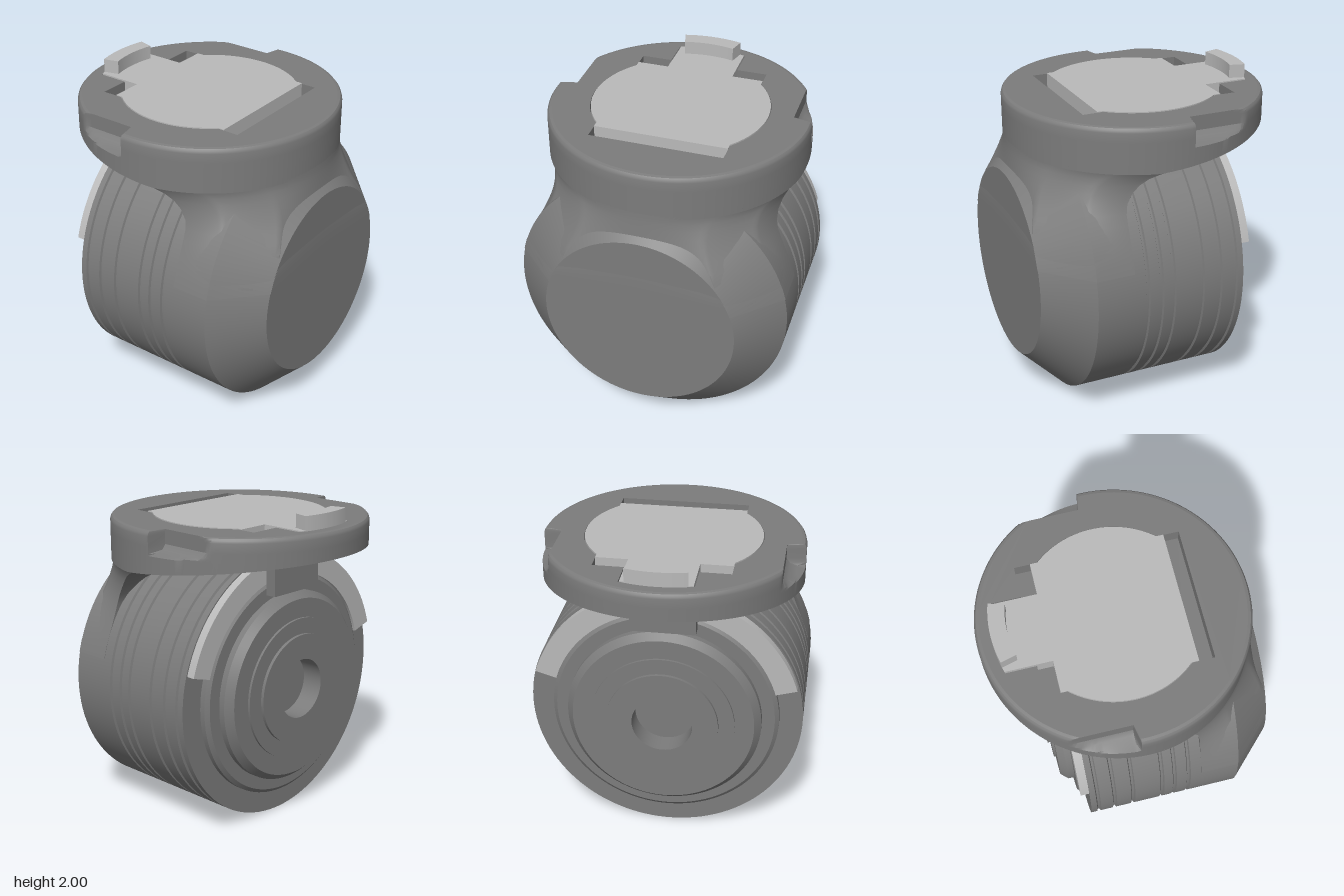
import * as THREE from 'three';
import { toCreasedNormals } from 'three/addons/utils/BufferGeometryUtils.js';

const CX = -0.03; // centre of the top disc
const R = 0.81;   // radius of the top disc
const CY = 0.86;  // height of the barrel axis

// Closed skin over equally long rings of [x, y, z] points
function loft(rings, caps = false) {
  const n = rings[0].length, pos = rings.flat(2), idx = [];
  for (let i = 0; i < rings.length - 1; i++)
    for (let j = 0; j < n; j++) {
      const k = (j + 1) % n, a = i * n + j, b = i * n + k, c = a + n, d = b + n;
      idx.push(a, c, b, b, c, d);
    }
  if (caps) {
    const last = (rings.length - 1) * n;
    for (let j = 1; j < n - 1; j++) idx.push(0, j, j + 1, last, last + j + 1, last + j);
  }
  const g = new THREE.BufferGeometry();
  g.setAttribute('position', new THREE.Float32BufferAttribute(pos, 3));
  g.setIndex(idx);
  return toCreasedNormals(g, 0.6);
}

// Points of an arc around the disc centre, as Vector2(x, z)
function arc(r, from, to, n) {
  return Array.from({ length: n + 1 }, (_, i) => {
    const a = from + (to - from) * i / n;
    return new THREE.Vector2(CX + r * Math.cos(a), r * Math.sin(a));
  });
}

// Outline shared by the plate and its pocket: tab, shoulders, round sides
function plateOutline(shoulderX, endX, tabZ, r) {
  const v = (x, z) => new THREE.Vector2(x, z);
  const a = Math.asin(0.41 / r), t = Math.asin(tabZ / 0.72);
  return [
    v(shoulderX, -tabZ), v(shoulderX, -0.41),
    ...arc(r, -Math.PI + a, -a, 32), v(endX, -0.41),
    v(endX, 0.41), ...arc(r, a, Math.PI - a, 32),
    v(shoulderX, 0.41), v(shoulderX, tabZ),
    ...arc(0.72, Math.PI - t, Math.PI + t, 12),
  ];
}

function ringSector(rIn, rOut, from, to) {
  const s = new THREE.Shape();
  s.absarc(0, 0, rOut, from, to, false);
  s.absarc(0, 0, rIn, to, from, true);
  return s;
}

const extrude = (shape, depth) => toCreasedNormals(
  new THREE.ExtrudeGeometry(shape, { depth, bevelEnabled: false, curveSegments: 48 }), 0.6);

export function createModel() {
  const group = new THREE.Group();
  const dark = new THREE.MeshStandardMaterial({ color: 0x7c7c7c, side: THREE.DoubleSide });
  dark.name = 'dark grey';
  const light = new THREE.MeshStandardMaterial({ color: 0xbababa });
  light.name = 'light grey';
  const add = (name, geometry, material) => {
    const m = new THREE.Mesh(geometry, material);
    m.name = name;
    group.add(m);
    return m;
  };

  // Barrel: stepped hub with a bore, grooved side, chamfered far end
  const profile = [[0, -0.42], [0.19, -0.42], [0.19, -0.56], [0.35, -0.56], [0.35, -0.54],
    [0.45, -0.54], [0.45, -0.525], [0.57, -0.525], [0.61, -0.48], [0.61, -0.44],
    [0.69, -0.44], [0.715, -0.42], [0.715, -0.385], [0.86, -0.385]];
  for (const x of [-0.335, -0.23, -0.11, 0.08, 0.16, 0.25])
    profile.push([0.86, x - 0.013], [0.847, x - 0.007], [0.847, x + 0.007], [0.86, x + 0.013]);
  profile.push([0.86, 0.57], [0.6, 0.83], [0, 0.83]);
  const barrel = new THREE.LatheGeometry(profile.map(p => new THREE.Vector2(...p)), 112);
  barrel.rotateZ(-Math.PI / 2);
  add('barrel', toCreasedNormals(barrel, 0.4), dark).position.y = CY;

  // Neck: blends the chamfered barrel section into the round disc
  // rows: height, front cut x, half width, blend to the round section
  const rows = [[1.05, 0.33, 0.842, 0], [1.12, 0.33, 0.822, 0], [1.2, 0.33, 0.793, 0.02],
    [1.26, 0.33, 0.775, 0.1], [1.32, 0.33, 0.762, 0.23], [1.38, 0.33, 0.753, 0.4],
    [1.44, 0.32, 0.75, 0.56], [1.5, 0.29, 0.753, 0.72], [1.55, 0.25, 0.762, 0.84],
    [1.59, 0.2, 0.775, 0.93], [1.62, 0.14, 0.792, 0.98], [1.65, 0.02, 0.81, 1]];
  const neckRings = rows.map(([y, cut, w, t]) => {
    const inner = y < 1.2 ? Math.sqrt(0.36 - (y - CY) ** 2) : w * 0.62;
    const a = Math.acos((cut - CX) / R);
    const ring = [];
    for (let i = -40; i <= 40; i++) {
      const u = Math.abs(i / 40), s = Math.sign(i);
      let x = 0.832, z = inner * u / 0.4;
      if (u > 0.75) {
        x = 0.57 + (cut - 0.57) * (u - 0.75) / 0.25;
        z = w;
      } else if (u > 0.4) {
        const k = (u - 0.4) / 0.35;
        x = 0.832 - 0.262 * k;
        z = inner + (w - inner) * k;
      }
      const cx = CX + R * Math.cos(a * u), cz = w * Math.sin(a * u);
      ring.push([x + (cx - x) * t, y, s * (z + (cz - z) * t)]);
    }
    return ring;
  });
  add('neck', loft(neckRings, true), dark);

  // Top disc: sloping underside, rounded rim, a finger notch on each side
  const underside = x => x < 0.15 ? 1.63 - (x - 0.15) * 0.111 : 1.63;
  const N = 240;
  const discRing = (r, y, limit = 1) => Array.from({ length: N }, (_, i) => {
    const a = (i + 0.5) / N * Math.PI * 2;
    const x = CX + r * Math.cos(a);
    let z = r * Math.sin(a);
    if (x < -0.065) z = THREE.MathUtils.clamp(z, -limit, limit);
    return [x, y ?? underside(x), z];
  });
  add('discRim', loft([
    ...[0, 0.2, 0.4, 0.6, R].map(r => discRing(r)),
    discRing(R, 1.765), discRing(R, 1.775, 0.76), discRing(R, 1.79, 0.715),
    discRing(R, 1.82, 0.692), discRing(R, 1.88, 0.692),
    discRing(R - 0.004, 1.895, 0.692), discRing(R - 0.013, 1.906, 0.692),
    discRing(R - 0.03, 1.91, 0.692),
  ]), dark);

  // Disc face with the pocket cut into it
  const pocket = plateOutline(-0.53, 0.47, 0.22, 0.55);
  const face = new THREE.Shape(discRing(R - 0.03, 0, 0.692).map(p => new THREE.Vector2(p[0], p[2])));
  face.holes.push(new THREE.Path(pocket));
  const faceGeometry = new THREE.ShapeGeometry(face).rotateX(-Math.PI / 2);
  add('discFace', faceGeometry, dark).position.y = 1.91;
  add('pocketWall', loft([1.91, 1.82].map(y => pocket.map(p => [p.x, y, p.y]))), dark);
  const floor = new THREE.ShapeGeometry(new THREE.Shape(pocket)).rotateX(-Math.PI / 2);
  add('pocketFloor', floor, dark).position.y = 1.82;

  // Sliding plate and its raised curved lip
  const plate = extrude(new THREE.Shape(plateOutline(-0.435, 0.375, 0.213, 0.546)), 0.09);
  add('plate', plate.rotateX(-Math.PI / 2), light).position.y = 1.825;
  const lip = extrude(ringSector(0.622, 0.72, Math.PI - 0.26, Math.PI + 0.26), 0.1);
  add('lip', lip.rotateX(-Math.PI / 2), light).position.set(CX, 1.9, 0);

  // Light band over the hub shoulder, and the latch block under the disc
  const band = extrude(ringSector(0.715, 0.852, 0.285, Math.PI - 0.285), 0.055);
  add('band', band.rotateY(-Math.PI / 2), light).position.set(-0.384, CY, 0);
  const latch = new THREE.BoxGeometry(0.07, 0.24, 0.4);
  add('latch', latch, dark).position.set(-0.475, 1.6, 0);

  return group;
}
